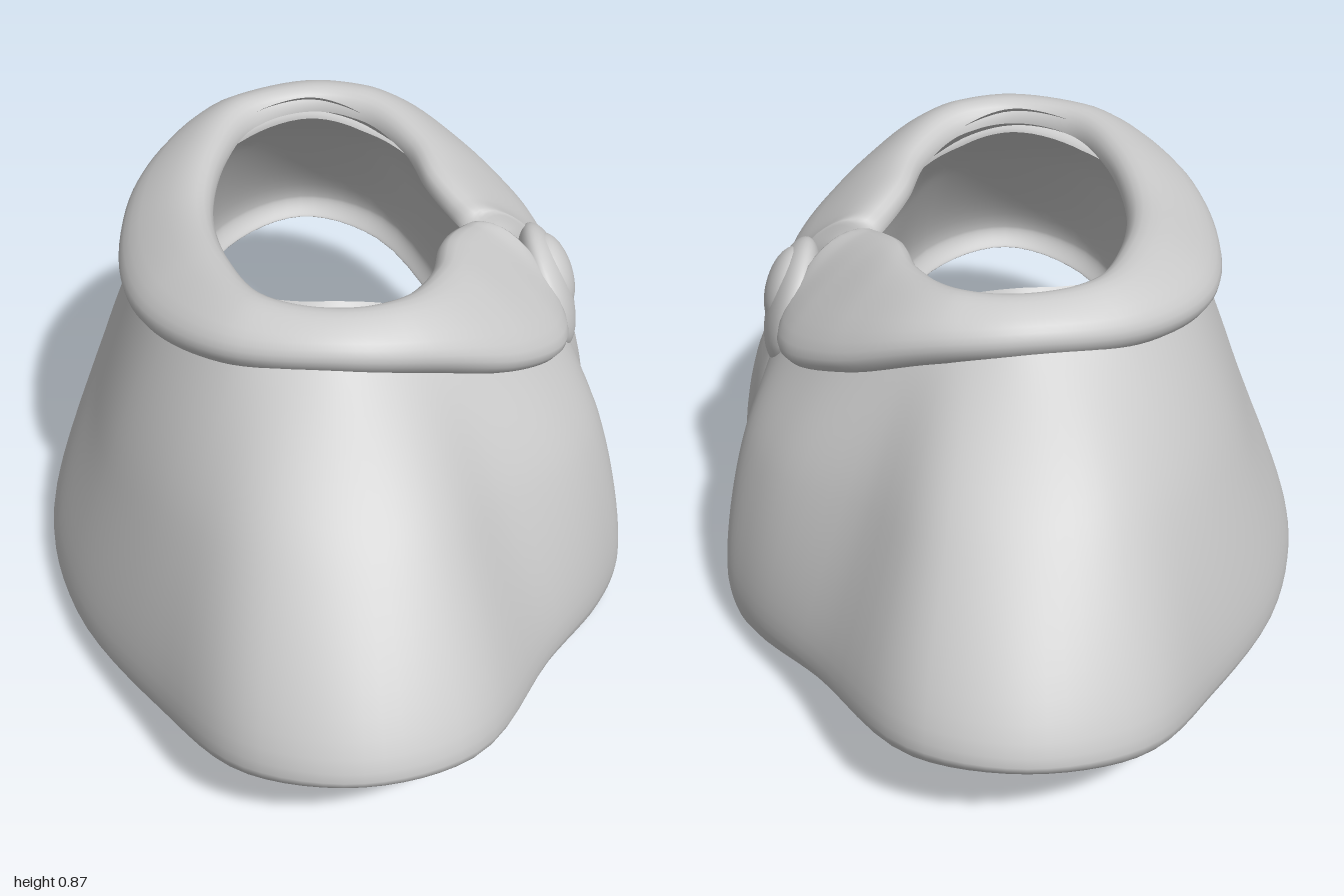
import * as THREE from 'three';

const V = (a) => new THREE.Vector3(...a);
const flip = (p) => new THREE.Vector3(p.x, p.y, -p.z);
const spline = (pts) => new THREE.CatmullRomCurve3(pts);

// Mirrors half a set of columns (back to front) into a full run, +z front edge to -z front edge
function mirrorColumns(half) {
  const cols = half.map((c) => c.map(V));
  return [...cols.slice().reverse(), ...cols.slice(1).map((c) => c.map(flip))];
}

// Smooth open surface through a grid of points
function gridGeometry(grid) {
  const rows = grid[0].length;
  const position = grid.flat().flatMap((p) => [p.x, p.y, p.z]);
  const index = [];
  for (let i = 0; i < grid.length - 1; i++) {
    for (let j = 0; j < rows - 1; j++) {
      const a = i * rows + j, b = a + rows;
      index.push(a, b, a + 1, b, b + 1, a + 1);
    }
  }
  const geo = new THREE.BufferGeometry();
  geo.setAttribute('position', new THREE.Float32BufferAttribute(position, 3));
  geo.setIndex(index);
  geo.computeVertexNormals();
  return geo;
}

// Cape columns from back to front edge: neck, middle, widest, hem
const capeHalf = [
  [[-0.365, 0.74, 0], [-0.485, 0.4, 0], [-0.6, 0.06, 0], [-0.565, 0.005, 0]],
  [[-0.325, 0.76, 0.225], [-0.45, 0.43, 0.28], [-0.54, 0.08, 0.32], [-0.51, 0.025, 0.3]],
  [[-0.2, 0.795, 0.405], [-0.31, 0.52, 0.57], [-0.37, 0.16, 0.67], [-0.34, 0.09, 0.64]],
  [[-0.1, 0.81, 0.46], [-0.17, 0.57, 0.73], [-0.21, 0.24, 0.92], [-0.19, 0.18, 0.88]],
  [[0, 0.815, 0.475], [0, 0.57, 0.78], [0, 0.27, 1.0], [0, 0.22, 0.95]],
  [[0.1, 0.795, 0.455], [0.16, 0.56, 0.73], [0.21, 0.25, 0.92], [0.19, 0.19, 0.88]],
  [[0.21, 0.745, 0.405], [0.3, 0.5, 0.54], [0.4, 0.16, 0.6], [0.38, 0.09, 0.56]],
  [[0.35, 0.68, 0.29], [0.48, 0.44, 0.35], [0.55, 0.11, 0.37], [0.53, 0.03, 0.35]],
  [[0.435, 0.64, 0.14], [0.55, 0.42, 0.18], [0.6, 0.12, 0.26], [0.58, 0.025, 0.26]],
  [[0.46, 0.63, 0], [0.54, 0.38, 0.06], [0.595, 0.12, 0.19], [0.575, 0.05, 0.21]],
  [[0.445, 0.63, 0.005], [0.52, 0.38, 0.065], [0.58, 0.12, 0.19], [0.565, 0.06, 0.21]],
];

// Moves a point towards the vertical axis
function inward(p, amount, rise = 0) {
  const k = 1 - amount / Math.hypot(p.x, p.z);
  return new THREE.Vector3(p.x * k, p.y + rise, p.z * k);
}

function capeGeometry() {
  const all = mirrorColumns(capeHalf);
  const columns = all.map((c, i) => {
    // Outer cloth, rounded hem, then the lining up to the neck; both meet at the front edges
    const depth = i === 0 || i === all.length - 1 ? 0.002 : 0.03;
    const lining = [
      inward(c[2], depth),
      inward(c[1], depth),
      inward(c[0], depth),
      inward(c[0], 0.09, 0.055),
    ];
    return spline([...c, ...lining]).getPoints(70);
  });
  const rows = columns[0].map((_, j) => spline(columns.map((c) => c[j])).getPoints(120));
  return gridGeometry(rows[0].map((_, i) => rows.map((r) => r[i])));
}

// Collar columns from back to tip: inner rim, outer rim
const collarHalf = [
  [[-0.23, 0.84, 0], [-0.41, 0.725, 0]],
  [[-0.2, 0.85, 0.2], [-0.365, 0.745, 0.25]],
  [[-0.13, 0.855, 0.345], [-0.22, 0.78, 0.43]],
  [[0, 0.855, 0.395], [0, 0.805, 0.505]],
  [[0.11, 0.85, 0.36], [0.19, 0.765, 0.465]],
  [[0.19, 0.835, 0.24], [0.34, 0.69, 0.37]],
  [[0.22, 0.82, 0.12], [0.445, 0.63, 0.24]],
  [[0.26, 0.8, 0.045], [0.465, 0.615, 0.14]],
  [[0.29, 0.785, 0.01], [0.425, 0.665, 0.065]],
  [[0.36, 0.735, 0.012], [0.362, 0.733, 0.013]],
];

function collarGeometry() {
  const columns = mirrorColumns(collarHalf);
  const inner = spline(columns.map((c) => c[0])).getPoints(140);
  const outer = spline(columns.map((c) => c[1])).getPoints(140);
  const middle = inner.map((p, i) => p.clone().lerp(outer[i], 0.5));
  const sections = middle.map((m, i) => {
    const across = outer[i].clone().sub(inner[i]);
    const along = middle[Math.min(i + 1, 140)].clone().sub(middle[Math.max(i - 1, 0)]);
    const up = along.cross(across).normalize();
    const thick = Math.min(0.05, across.length() * 0.35);
    const ring = [];
    for (let j = 0; j <= 20; j++) {
      // Open section: from inside the neck, over the top and under the outer edge
      const a = Math.PI * (1.15 - (j / 20) * 1.6);
      const c = Math.cos(a), s = Math.sin(a);
      const w = Math.sign(c) * Math.abs(c) ** 0.85, h = Math.sign(s) * Math.abs(s) ** 0.85;
      ring.push(m.clone().addScaledVector(across, w / 2).addScaledVector(up, h * thick));
    }
    return ring;
  });
  return gridGeometry(sections);
}

export function createModel() {
  const cloth = new THREE.MeshStandardMaterial({ color: 0xcccccc, side: THREE.DoubleSide });
  cloth.name = 'greyCloth';
  const model = new THREE.Group();
  model.name = 'cape';
  const add = (name, geo, parent = model) => {
    const mesh = new THREE.Mesh(geo, cloth);
    mesh.name = name;
    parent.add(mesh);
    return mesh;
  };

  add('capeBody', capeGeometry());
  add('collar', collarGeometry());

  // Round clasp over the opening, tilted with the slope of the chest
  const clasp = new THREE.Group();
  clasp.name = 'clasp';
  clasp.position.set(0.455, 0.628, 0);
  clasp.lookAt(0.455 + 0.95, 0.628 + 0.31, 0);
  add('claspBase', new THREE.SphereGeometry(0.135, 32, 20), clasp).scale.set(1.06, 0.95, 0.36);
  const gem = add('claspGem', new THREE.SphereGeometry(0.085, 28, 18), clasp);
  gem.position.set(0, 0.025, 0.018);
  gem.scale.z = 0.5;
  model.add(clasp);

  return model;
}
